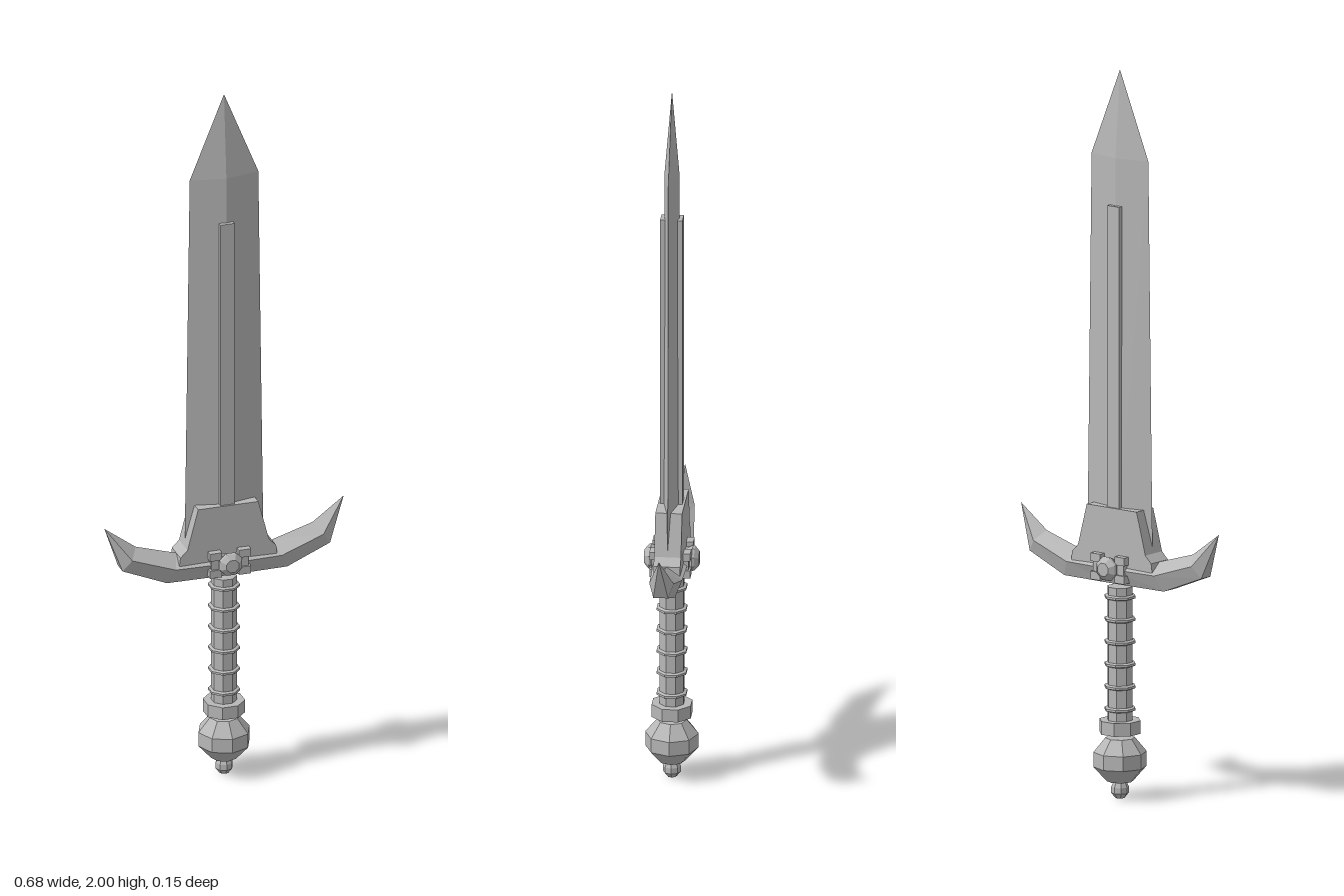
import * as THREE from 'three';

const steel = new THREE.MeshStandardMaterial({ color: 0xb8b8b8, flatShading: true });
steel.name = 'steel';

function add(parent, name, geometry) {
  const mesh = new THREE.Mesh(geometry, steel);
  mesh.name = name;
  parent.add(mesh);
  return mesh;
}

// Skin a list of rings (same point count, counter-clockwise seen from the far end)
function loft(rings) {
  const n = rings[0].length;
  const index = [];
  for (let i = 0; i < rings.length - 1; i++) {
    for (let j = 0; j < n; j++) {
      const a = i * n + j, b = i * n + (j + 1) % n;
      index.push(a, b, b + n, a, b + n, a + n);
    }
  }
  const g = new THREE.BufferGeometry();
  g.setAttribute('position', new THREE.Float32BufferAttribute(rings.flat(2), 3));
  g.setIndex(index);
  const flat = g.toNonIndexed();
  flat.computeVertexNormals();
  return flat;
}

function lathe(profile, sides = 8) {
  return new THREE.LatheGeometry(profile.map(([r, y]) => new THREE.Vector2(r, y)), sides);
}

function plate(points, depth) {
  const shape = new THREE.Shape(points.map(([x, y]) => new THREE.Vector2(x, y)));
  return new THREE.ExtrudeGeometry(shape, { depth, bevelEnabled: false }).translate(0, 0, -depth / 2);
}

export function createModel() {
  const sword = new THREE.Group();
  sword.name = 'sword';

  // Blade: diamond section [y, half width, half thickness]
  const bladeStations = [[0.62, 0.112, 0.024], [1.76, 0.097, 0.02], [2, 0, 0]];
  add(sword, 'blade', loft(bladeStations.map(([y, w, t]) =>
    [[w, y, 0], [0, y, -t], [-w, y, 0], [0, y, t]])));
  add(sword, 'bladeRib', new THREE.BoxGeometry(0.04, 0.95, 0.06).translate(0, 1.155, 0));

  // Blade collar
  add(sword, 'bladeCollar', plate([
    [-0.14, 0.63], [0.14, 0.63], [0.135, 0.67], [0.115, 0.69], [0.085, 0.805],
    [-0.085, 0.805], [-0.115, 0.69], [-0.135, 0.67]], 0.072));

  // Crossguard: top ridge, widest edge and lower edge, each [x, y], then half depth
  const half = [
    [[0, 0.67], [0, 0.64], [0, 0.597], 0.048],
    [[0.135, 0.67], [0.15, 0.64], [0.17, 0.597], 0.043],
    [[0.25, 0.705], [0.27, 0.68], [0.293, 0.647], 0.033],
    [[0.338, 0.77], [0.338, 0.77], [0.338, 0.77], 0],
  ];
  const ring = ([top, mid, low, d], s) => [
    [s * top[0], top[1], 0], [s * mid[0], mid[1], d], [s * low[0], low[1], d * 0.6],
    [s * low[0], low[1], -d * 0.6], [s * mid[0], mid[1], -d]];
  add(sword, 'crossguard', loft([
    ...half.slice(1).reverse().map(s => ring(s, -1)),
    ...half.map(s => ring(s, 1))]));

  // Faceted stone in a clawed setting on both faces
  for (const side of [1, -1]) {
    const setting = new THREE.Group();
    setting.name = side > 0 ? 'frontSetting' : 'backSetting';
    setting.position.y = 0.642;
    setting.rotation.y = side > 0 ? 0 : Math.PI;
    sword.add(setting);
    add(setting, 'settingPlate', new THREE.BoxGeometry(0.104, 0.045, 0.04).translate(0, 0, 0.03));
    for (const x of [-1, 1]) {
      for (const y of [-1, 1]) {
        add(setting, 'claw', new THREE.BoxGeometry(0.034, 0.022, 0.03)
          .translate(x * 0.041, y * 0.025, 0.04));
      }
    }
    const stone = lathe([[0.024, 0.035], [0.035, 0.056], [0.033, 0.062], [0.019, 0.074], [0, 0.074]]);
    stone.rotateY(Math.PI / 8).rotateX(Math.PI / 2);
    add(setting, 'stone', stone);
  }

  // Grip with evenly spaced wrap rings
  add(sword, 'grip', new THREE.CylinderGeometry(0.035, 0.035, 0.375, 8)
    .rotateY(Math.PI / 8).translate(0, 0.398, 0));
  for (let i = 0; i < 6; i++) {
    const y = 0.25 + i * 0.0615;
    add(sword, 'gripRing', lathe([[0.033, y - 0.007], [0.043, y - 0.003],
      [0.043, y + 0.003], [0.033, y + 0.007]]).rotateY(Math.PI / 8));
  }
  add(sword, 'gripFerrule', new THREE.CylinderGeometry(0.057, 0.057, 0.036, 8)
    .rotateY(Math.PI / 8).translate(0, 0.202, 0));

  // Pommel and end knob
  add(sword, 'pommel', lathe([[0, 0.052], [0.036, 0.052], [0.072, 0.092], [0.072, 0.132],
    [0.04, 0.171], [0, 0.171]]));
  add(sword, 'pommelKnob', lathe([[0, 0.004], [0.013, 0.006], [0.024, 0.02], [0.024, 0.036],
    [0.015, 0.055]]));

  return sword;
}
